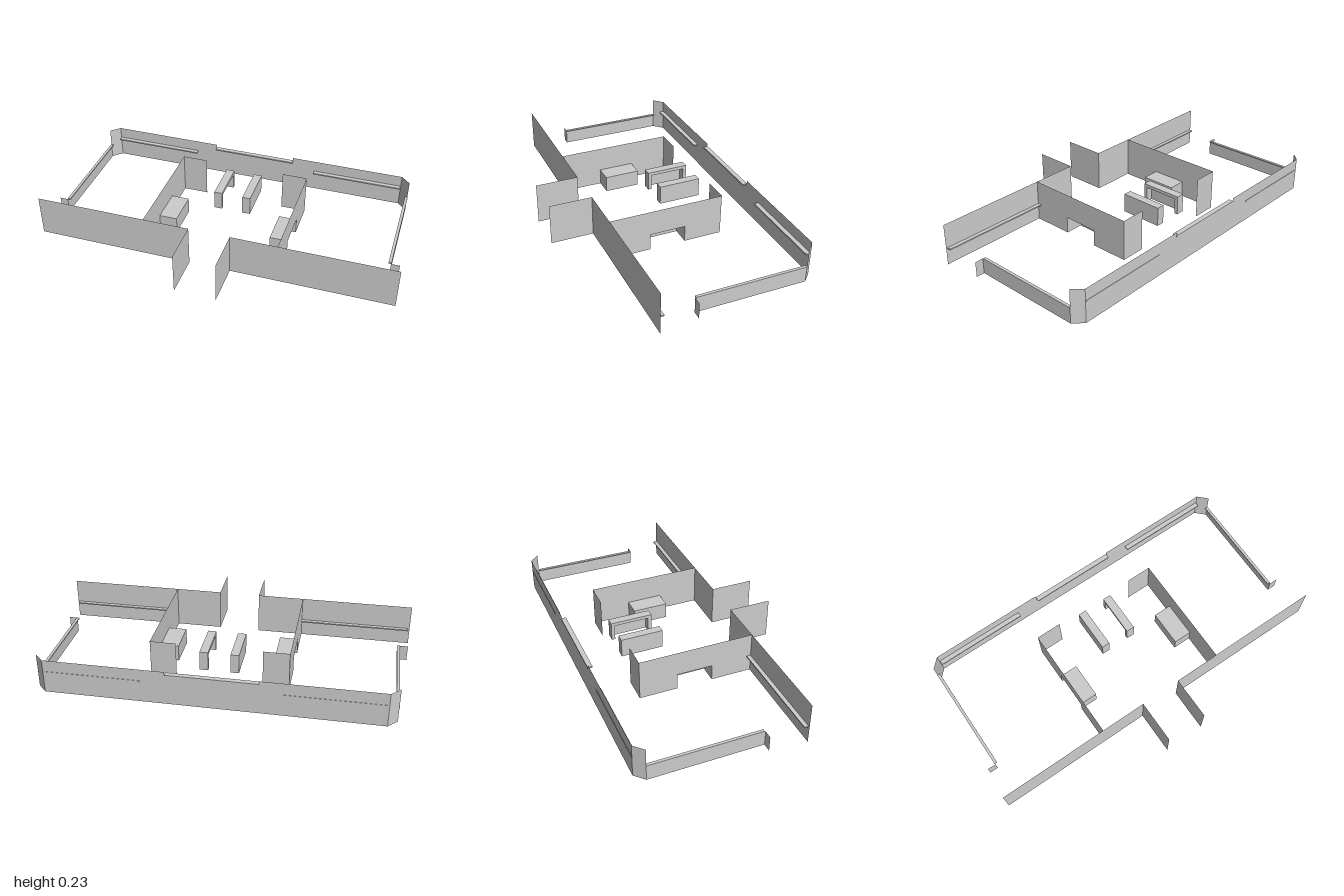
import * as THREE from 'three';

const material = new THREE.MeshStandardMaterial({ color: 0xcccccc, side: THREE.DoubleSide, flatShading: true });
const OFF = -0.004; // the rooms sit slightly off centre

export function createModel() {
  const model = new THREE.Group();

  function add(parent, name, geometry) {
    const mesh = new THREE.Mesh(geometry, material);
    mesh.name = name;
    parent.add(mesh);
    return mesh;
  }

  // Solid block given by its two corners
  function block(parent, name, x0, x1, y0, y1, z0, z1) {
    const g = new THREE.BoxGeometry(Math.abs(x1 - x0), y1 - y0, z1 - z0);
    g.translate((x0 + x1) / 2, (y0 + y1) / 2, (z0 + z1) / 2);
    return add(parent, name, g);
  }

  // Upright thin wall following a plan path of [x, z] points
  function wall(parent, name, path, y0, y1) {
    const pos = [], index = [];
    for (let i = 0; i + 1 < path.length; i++) {
      const [ax, az] = path[i], [bx, bz] = path[i + 1], n = i * 4;
      pos.push(ax, y0, az, bx, y0, bz, bx, y1, bz, ax, y1, az);
      index.push(n, n + 1, n + 2, n, n + 2, n + 3);
    }
    const g = new THREE.BufferGeometry();
    g.setAttribute('position', new THREE.Float32BufferAttribute(pos, 3));
    g.setIndex(index);
    g.computeVertexNormals();
    return add(parent, name, g);
  }

  // Flat panel from an outline
  const panel = (points) => new THREE.ShapeGeometry(
    new THREE.Shape(points.map(([a, b]) => new THREE.Vector2(a, b))));

  for (const s of [-1, 1]) {
    const side = new THREE.Group();
    side.name = s > 0 ? 'leftSide' : 'rightSide';
    model.add(side);
    const X = (a) => s * a + OFF;

    // Front facade, turning outwards along the entrance
    wall(side, 'frontWall', [[s, 0.318], [X(0.115), 0.318], [X(0.115), 0.556]], 0.003, 0.235);
    block(side, 'frontRail', X(0.373), s * 0.992, 0.093, 0.1, 0.295, 0.317);

    // Partition with a low niche opening, and its short return at the back
    const partition = panel([
      [-0.323, 0.003], [-0.11, 0.003], [-0.11, 0.095], [0.09, 0.095],
      [0.09, 0.003], [0.318, 0.003], [0.318, 0.235], [-0.323, 0.235]]);
    partition.rotateY(-Math.PI / 2).translate(X(0.373), 0, 0);
    add(side, 'partitionWall', partition);
    wall(side, 'partitionReturn', [[X(0.373), -0.323], [X(0.232), -0.323]], 0.003, 0.235);

    // Niche hood: three upright faces and a top
    wall(side, 'nicheWalls', [[X(0.373), -0.11], [X(0.272), -0.11], [X(0.272), 0.09], [X(0.373), 0.09]], 0.003, 0.095);
    const top = new THREE.PlaneGeometry(0.101, 0.2).rotateX(-Math.PI / 2);
    top.translate(X(0.3225), 0.095, -0.01);
    add(side, 'nicheTop', top);

    // Low outer wall with cap and end tab
    wall(side, 'lowSideWall', [[X(0.938), -0.505], [X(0.938), 0.11], [X(0.985), 0.11]], 0.01, 0.097);
    block(side, 'sideCap', X(0.924), X(0.94), 0.093, 0.1, -0.505, 0.105);

    // Angled back corner and rail on the rear wall
    wall(side, 'backCorner', [[X(0.938), -0.505], [X(0.888), -0.555]], 0.01, 0.2);
    block(side, 'backRail', X(0.37), X(0.885), 0.126, 0.134, -0.557, -0.53);

    // Raised stand with a kneehole facing the centre line
    const stand = new THREE.Group();
    stand.name = 'stand';
    side.add(stand);
    const [inner, outer] = [X(0.06), X(0.106)];
    block(stand, 'standTop', inner, outer, 0.178, 0.197, -0.323, -0.086);
    block(stand, 'standBack', X(0.1), outer, 0.09, 0.178, -0.323, -0.086);
    for (const z of [-0.323, -0.106]) block(stand, 'standLeg', inner, X(0.1), 0.09, 0.178, z, z + 0.02);
  }

  // Rear wall, lowered in the middle under a cap
  const rear = panel([
    [-0.892, 0.01], [0.884, 0.01], [0.884, 0.2], [0.233, 0.2],
    [0.233, 0.178], [-0.249, 0.178], [-0.249, 0.2], [-0.892, 0.2]]);
  rear.translate(0, 0, -0.555);
  add(model, 'rearWall', rear);
  block(model, 'rearCap', -0.249, 0.233, 0.175, 0.183, -0.557, -0.53);

  return model;
}
